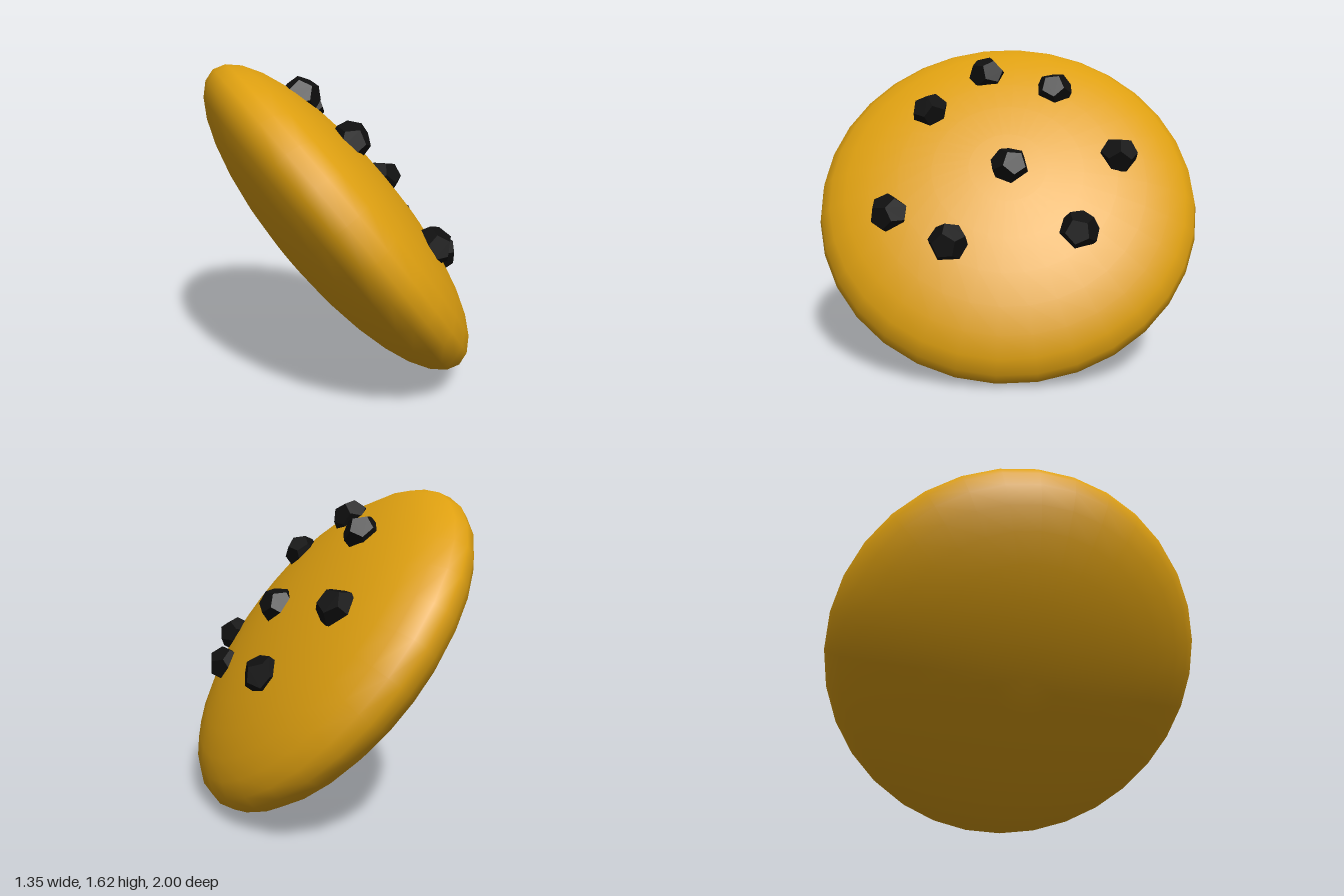
import * as THREE from 'three';

export function createModel() {
  const model = new THREE.Group();
  const dough = new THREE.MeshStandardMaterial({ color: 0xdd9f10 });
  dough.name = 'golden dough';
  const chocolate = new THREE.MeshStandardMaterial({ color: 0x0f0f0f, flatShading: true });
  chocolate.name = 'dark chocolate';

  // Everything is built lying flat, then tilted as one piece
  const cookie = new THREE.Group();
  cookie.name = 'cookie';
  cookie.position.y = 0.81;
  cookie.rotation.set(-0.065, 0, -0.899, 'ZXY');
  model.add(cookie);

  // Flattened round body
  const thickness = 0.33;
  const body = new THREE.Mesh(new THREE.SphereGeometry(1, 32, 16), dough);
  body.name = 'cookieBody';
  body.scale.y = thickness;
  cookie.add(body);

  // Chips half sunk into the upper face: [x, z]
  const chipGeometry = new THREE.DodecahedronGeometry(0.1);
  const spots = [
    [-0.13, -0.56], [0.32, -0.36], [-0.53, -0.22], [0, -0.01],
    [-0.63, 0.15], [0.42, 0.26], [-0.35, 0.43], [0.26, 0.57],
  ];
  spots.forEach(([x, z], i) => {
    const chip = new THREE.Mesh(chipGeometry, chocolate);
    chip.name = `chocolateChip${i + 1}`;
    chip.position.set(x, thickness * Math.sqrt(1 - x * x - z * z), z);
    chip.rotation.set(i * 1.3, i * 2.1, i * 0.7);
    cookie.add(chip);
  });

  return model;
}
